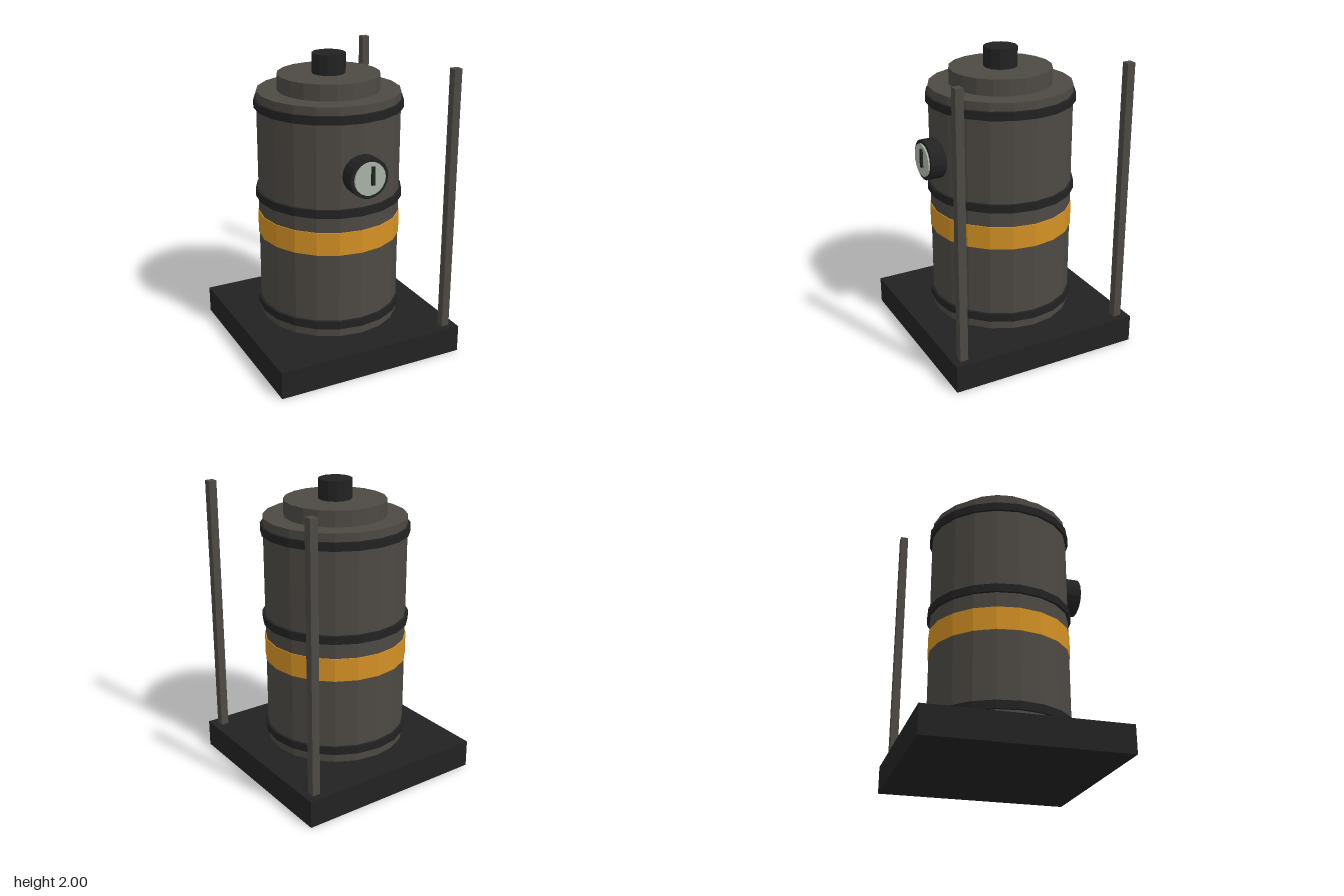
import * as THREE from 'three';

const mat = (name, color) => {
  const m = new THREE.MeshStandardMaterial({ color, flatShading: true });
  m.name = name;
  return m;
};

export function createModel() {
  const model = new THREE.Group();
  model.name = 'storageTank';
  const steel = mat('greySteel', 0x4d4943);
  const dark = mat('darkIron', 0x222223);
  const amber = mat('amberPaint', 0xd39024);
  const dial = mat('paleDial', 0xa8b3a6);

  const add = (name, geometry, material, x, y, z) => {
    const mesh = new THREE.Mesh(geometry, material);
    mesh.name = name;
    mesh.position.set(x, y, z);
    model.add(mesh);
    return mesh;
  };
  // Upright cylinder between two heights
  const drum = (name, r, y0, y1, sides, material) =>
    add(name, new THREE.CylinderGeometry(r, r, y1 - y0, sides), material, 0, (y0 + y1) / 2, 0);
  // Cylinder facing the front, between two depths
  const disc = (name, r, z0, z1, y, material) => {
    const g = new THREE.CylinderGeometry(r, r, z1 - z0, 20).rotateX(Math.PI / 2);
    return add(name, g, material, 0, y, (z0 + z1) / 2);
  };

  // Base slab
  add('base', new THREE.BoxGeometry(1.31, 0.185, 1.31), dark, 0, 0.0925, 0);

  // Tank body, stepped lid and cap
  drum('tankBody', 0.47, 0.21, 1.765, 20, steel);
  drum('lid', 0.335, 1.765, 1.87, 20, steel);
  drum('cap', 0.11, 1.87, 2, 12, dark);

  // Hoops and painted band
  for (const y of [0.298, 1.08, 1.684]) drum('hoop', 0.488, y - 0.027, y + 0.027, 20, dark);
  drum('warningBand', 0.476, 0.795, 0.95, 20, amber);

  // Pressure gauge
  disc('gaugeHousing', 0.132, 0.42, 0.556, 1.325, dark);
  disc('gaugeDial', 0.108, 0.55, 0.567, 1.325, dial);
  add('gaugeNeedle', new THREE.BoxGeometry(0.022, 0.12, 0.016), dark, 0.015, 1.345, 0.573);

  // Corner posts on the left side
  for (const z of [-0.58, 0.58])
    add('post', new THREE.BoxGeometry(0.054, 1.775, 0.054), steel, 0.58, 1.0675, z);

  return model;
}
